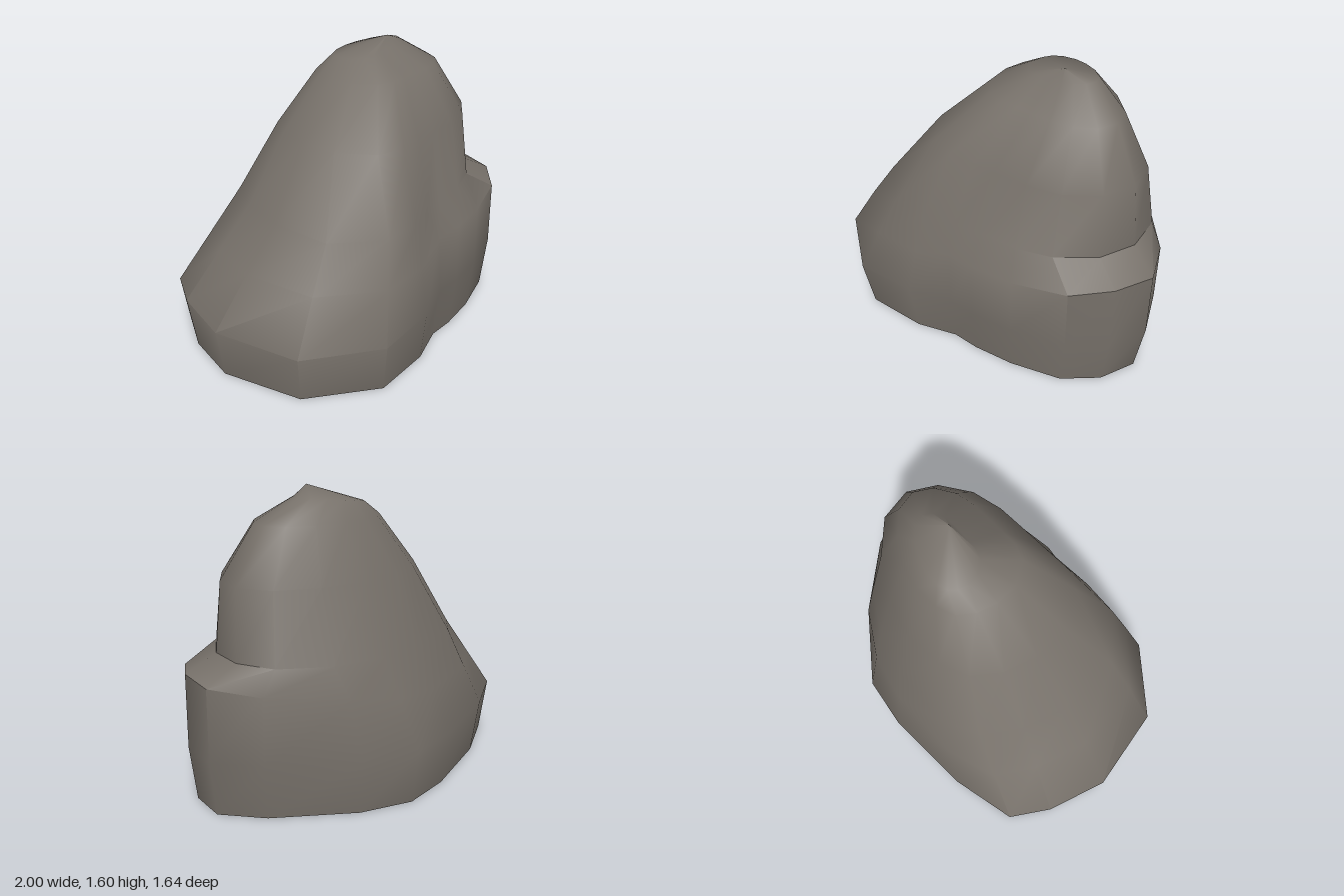
import * as THREE from 'three';
import { toCreasedNormals } from 'three/addons/utils/BufferGeometryUtils.js';

// Plan outlines as [x, z], starting at the right flank and running past the front
const FOOT = [[-1, -.07], [-.96, .28], [-.68, .69], [-.24, .82], [.09, .67], [.28, .51], [.43, .45], [.64, .33], [.88, .14],
  [.99, -.07], [1, -.3], [.81, -.5], [.39, -.75], [.09, -.825], [-.2, -.75], [-.66, -.53], [-.96, -.31]];
const WAIST = [[-.59, -.1], [-.56, .18], [-.42, .5], [-.12, .62], [.08, .55], [.22, .44], [.36, .35], [.55, .25], [.7, .12],
  [.82, -.09], [.83, -.3], [.73, -.49], [.48, -.63], [.2, -.67], [-.06, -.64], [-.4, -.51], [-.55, -.34]];
const SHOULDER = [[-.36, -.13], [-.34, .06], [-.25, .26], [-.06, .39], [.1, .38], [.23, .32], [.36, .26], [.53, .18], [.68, .07],
  [.79, -.1], [.81, -.28], [.7, -.44], [.48, -.53], [.22, -.56], [0, -.53], [-.2, -.43], [-.32, -.3]];

// How far each column keeps the vertical wall up to the ledge (1) or slopes in from the low rim (0)
const LEDGE = [0, 0, 0, 0, .15, .7, 1, 1, 1, 1, 1, 1, .35, .05, 0, 0, 0];
const LEDGE_Y = [.55, .55, .55, .55, .56, .63, .65, .65, .67, .695, .685, .655, .62, .57, .55, .55, .55];
const LOW_Y = [.3, .285, .275, .285, .3, .3, .3, .3, .3, .3, .3, .3, .3, .3, .3, .3, .3];

const lerp = THREE.MathUtils.lerp;

// Closed skin through the stacked rings, with a fan at the foot and one at the peak
function loft(rings, bottom, top) {
  const n = rings[0].length, pos = [...rings.flat(2), ...bottom, ...top], index = [];
  const low = rings.length * n, high = low + 1, last = (rings.length - 1) * n;
  for (let j = 0; j < n; j++) {
    const k = (j + 1) % n;
    for (let i = 0; i < rings.length - 1; i++) {
      const a = i * n + j, b = i * n + k;
      index.push(a, b, b + n, a, b + n, a + n);
    }
    index.push(low, k, j, high, last + j, last + k);
  }
  const g = new THREE.BufferGeometry();
  g.setAttribute('position', new THREE.Float32BufferAttribute(pos, 3));
  g.setIndex(index);
  return toCreasedNormals(g, 0.86);
}

export function createModel() {
  const stone = new THREE.MeshStandardMaterial({ color: 0x77716a });
  stone.name = 'stone';

  const base = FOOT.map(([x, z]) => [x * .957, 0, z * .94]);
  const lowRim = FOOT.map(([x, z], j) => [x, LOW_Y[j], z]);
  const ledge = FOOT.map(([x, z], j) => {
    const t = lerp((LEDGE_Y[j] - .3) / .48, 0, LEDGE[j]);
    return [lerp(x, WAIST[j][0], t), LEDGE_Y[j], lerp(z, WAIST[j][1], t)];
  });
  const waist = WAIST.map(([x, z]) => [x, .78, z]);
  const shoulder = SHOULDER.map(([x, z]) => [x, 1.15, z]);
  // Upper rings shrink the shoulder towards the summit
  const shrink = (s, sz, y, cx, cz) => SHOULDER.map(([x, z]) => [cx + (x - .225) * s, y, cz + (z + .09) * sz]);
  const brow = shrink(.64, .6, 1.43, .265, -.155);
  const crown = shrink(.36, .3, 1.525, .14, -.22).map(([x, y, z]) => [x + .08, y + (x - .1) * .12, z]);

  const rock = new THREE.Mesh(
    loft([base, lowRim, ledge, waist, shoulder, brow, crown], [0, 0, 0], [.31, 1.6, -.17]), stone);
  rock.name = 'boulder';
  const group = new THREE.Group();
  group.name = 'rock';
  group.add(rock);
  return group;
}
